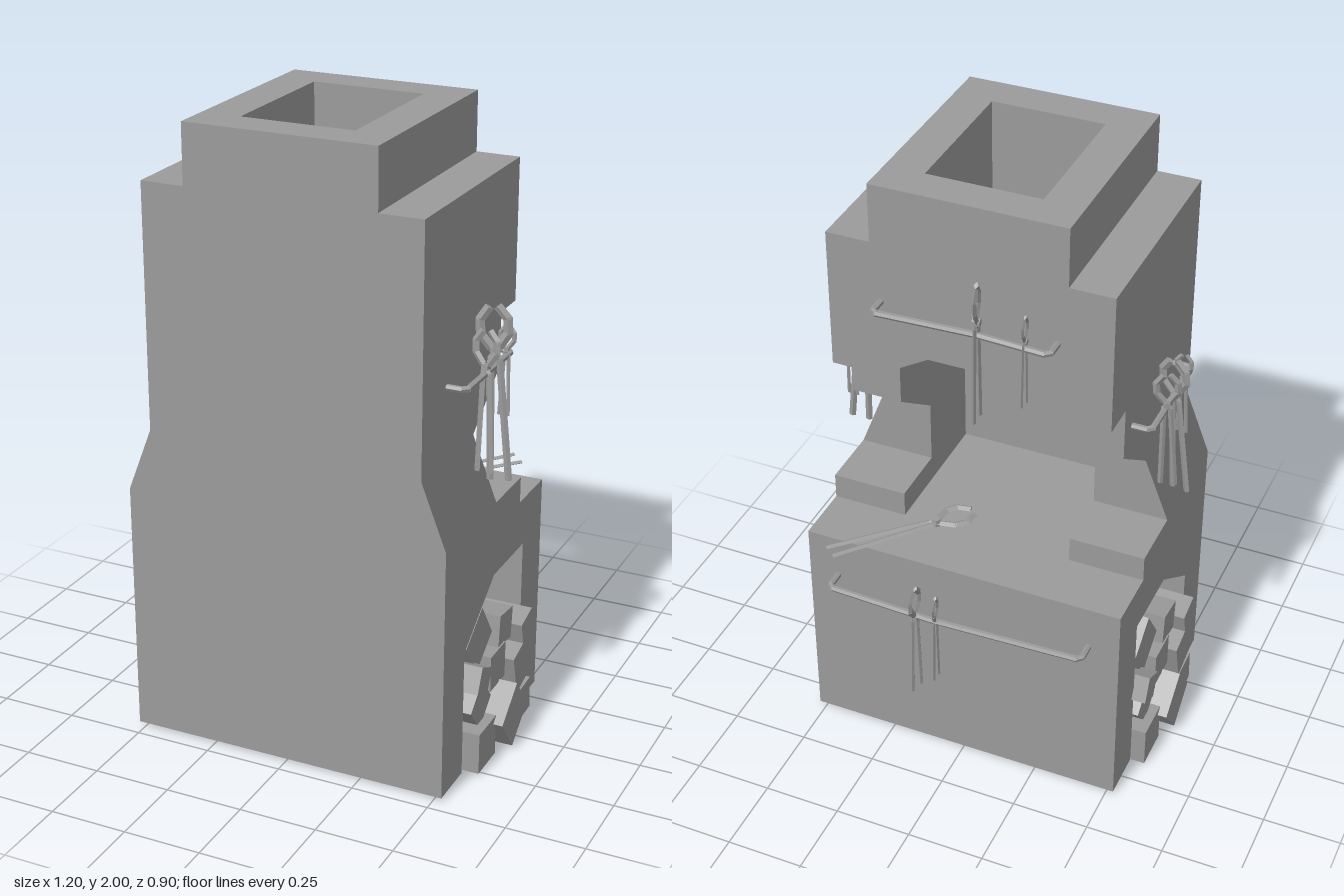
import * as THREE from 'three';
import { mergeGeometries } from 'three/addons/utils/BufferGeometryUtils.js';

const stone = new THREE.MeshStandardMaterial({ color: 0x9b9b9b, flatShading: true });
const smoothStone = new THREE.MeshStandardMaterial({ color: 0x9b9b9b });

function add(parent, name, geometry, material = stone) {
  const mesh = new THREE.Mesh(geometry, material);
  mesh.name = name;
  parent.add(mesh);
  return mesh;
}

// Box from its lower and upper corner
function block(x0, y0, z0, x1, y1, z1) {
  return new THREE.BoxGeometry(x1 - x0, y1 - y0, z1 - z0)
    .translate((x0 + x1) / 2, (y0 + y1) / 2, (z0 + z1) / 2);
}

// Outline pushed along an axis: x takes (z, y) points, y takes (x, z), z takes (x, y)
function prism(axis, points, from, to, hole) {
  const toVectors = (list) => list.map(([a, b]) => new THREE.Vector2(a, b));
  const shape = new THREE.Shape(toVectors(points));
  if (hole) shape.holes.push(new THREE.Path(toVectors(hole)));
  const geo = new THREE.ExtrudeGeometry(shape, { depth: to - from, bevelEnabled: false });
  if (axis === 'x') return geo.rotateY(-Math.PI / 2).translate(to, 0, 0);
  if (axis === 'y') return geo.rotateX(Math.PI / 2).translate(0, to, 0);
  return geo.translate(0, 0, from);
}

const rect = (x0, z0, x1, z1) => [[x0, z0], [x1, z0], [x1, z1], [x0, z1]];

// Block whose outer side leans in at the top, shaded like the wall it continues
function taperedBlock(x0, x1, y0, y1, z0, z1, outerBottom, outerTop) {
  const geo = block(x0, y0, z0, x1, y1, z1);
  const pos = geo.attributes.position;
  for (let i = 0; i < pos.count; i++) {
    const isOuter = Math.abs(pos.getX(i) - outerBottom) < 1e-4;
    if (isOuter && pos.getY(i) > (y0 + y1) / 2) pos.setX(i, outerTop);
  }
  return geo;
}

// Chain of thin bars through a list of points
function rod(points, radius, sides) {
  const up = new THREE.Vector3(0, 1, 0);
  const bars = [];
  for (let i = 1; i < points.length; i++) {
    const a = new THREE.Vector3(...points[i - 1]);
    const b = new THREE.Vector3(...points[i]);
    const dir = b.clone().sub(a);
    const bar = new THREE.CylinderGeometry(radius, radius, dir.length() + radius * 0.6, sides);
    bar.applyQuaternion(new THREE.Quaternion().setFromUnitVectors(up, dir.normalize()));
    const mid = a.add(b).multiplyScalar(0.5);
    bars.push(bar.translate(mid.x, mid.y, mid.z));
  }
  return mergeGeometries(bars);
}

// Flat tongs with the pivot at the origin, jaws up, opening along x
function makeTongs(size) {
  const tongs = new THREE.Group();
  tongs.name = 'tongs';
  for (const s of [-1, 1]) {
    const handle = rod([[s * 0.026, -0.36, 0], [s * 0.012, -0.02, 0], [-s * 0.012, 0.015, 0]], 0.01, 4);
    const jaw = rod([[-s * 0.012, 0.015, 0], [-s * 0.037, 0.05, 0], [-s * 0.037, 0.09, 0],
      [-s * 0.013, 0.122, 0]], 0.013, 4);
    const arm = mergeGeometries([handle, jaw]).scale(1, 1, 0.6).translate(0, 0, s * 0.003);
    add(tongs, 'tongsArm', arm);
  }
  add(tongs, 'tongsPivot', new THREE.CylinderGeometry(0.014, 0.014, 0.026, 6).rotateX(Math.PI / 2));
  tongs.scale.setScalar(size);
  return tongs;
}

function hangTongs(parent, size, x, y, z, turn, lean, roll) {
  const tongs = makeTongs(size);
  tongs.position.set(x, y, z);
  tongs.rotation.set(lean, turn, roll);
  parent.add(tongs);
}

export function createModel() {
  const model = new THREE.Group();
  model.name = 'forge';
  const front = 0.45, inner = 0.28, upper = 0.444, wide = 0.524;
  const lip = -0.14, back = -0.255, ceiling = 1.62;

  // Base with a fuel tunnel running through from side to side
  add(model, 'base', prism('x', [[front, 0.012], [front, 0.745], [-0.334, 0.745], [-0.334, 0.012],
    [-0.178, 0.012], [-0.178, 0.587], [0.064, 0.587], [0.292, 0.427], [0.292, 0.012]], -wide, wide));

  // Hearth walls, mirrored left and right
  for (const s of [-1, 1]) {
    const range = (a, b) => (s > 0 ? [a, b] : [-b, -a]);
    const [s0, s1] = range(inner, wide);
    const [u0, u1] = range(inner, upper);
    add(model, 'hearthStep', block(s0, 0.745, lip, s1, 0.83, front));
    add(model, 'taperedWall',
      taperedBlock(s0, s1, 0.83, 1.037, 0.064, front, s * wide, s * upper), smoothStone);
    add(model, 'corbelWall', prism('x', [[front, 1.037], [0.064, 1.037], [lip, 1.186],
      [lip, ceiling], [front, ceiling]], u0, u1));
  }
  add(model, 'frontWall', block(-inner, 0.745, 0.33, inner, ceiling, front));

  // Arched hood lip, then hood and chimney around an open flue
  add(model, 'hoodLip', prism('z', [[-upper, 1.36], [-0.29, 1.36], [-0.13, 1.455], [0.13, 1.455],
    [0.29, 1.36], [upper, 1.36], [upper, 1.812], [-upper, 1.812]], back, lip));
  const flue = rect(-0.18, lip + 0.001, 0.18, 0.33);
  add(model, 'hood', prism('y', rect(-upper, lip, upper, front), ceiling, 1.812, flue));
  add(model, 'chimney', prism('y', rect(-0.305, back, 0.305, front), 1.812, 2, flue));

  // Fuel blocks: z, y, thickness, turn in degrees, outer end
  const fuelRows = [
    [0.2, 0.075, 0.135, 0, 0.57], [0.048, 0.108, 0.15, 38, 0.6], [-0.11, 0.07, 0.11, 3, 0.57],
    [0.185, 0.2, 0.115, 40, 0.54], [0.05, 0.265, 0.12, 0, 0.54], [-0.095, 0.215, 0.14, 15, 0.57],
    [0.15, 0.4, 0.15, 35, 0.515], [-0.02, 0.37, 0.105, -6, 0.535], [0.235, 0.315, 0.085, -25, 0.57],
    [-0.125, 0.325, 0.09, 15, 0.57],
  ];
  for (const s of [1, -1]) {
    const pile = new THREE.Group();
    pile.name = s > 0 ? 'leftFuelPile' : 'rightFuelPile';
    for (const [z, y, size, turn, end] of fuelRows) {
      const piece = add(pile, 'fuelBlock', new THREE.BoxGeometry(end - 0.1, size, size));
      piece.position.set((end + 0.1) / 2, y, z);
      piece.rotation.x = THREE.MathUtils.degToRad(turn);
    }
    if (s < 0) {
      pile.rotation.y = Math.PI;
      pile.position.z = 0.095;
    }
    model.add(pile);
  }

  // Tool rails on the back and on both sides
  const rail = (y, pts) => rod(pts.map(([x, z]) => [x, y, z]), 0.01, 6);
  add(model, 'hoodRail', rail(1.62, [[-0.275, -0.25], [-0.275, -0.305], [-0.26, -0.318],
    [-0.04, -0.305], [0.26, -0.318], [0.275, -0.305], [0.275, -0.25]]));
  add(model, 'baseRail', rail(0.6, [[-0.425, -0.33], [-0.425, -0.385], [-0.41, -0.4],
    [0.06, -0.415], [0.41, -0.4], [0.425, -0.385], [0.425, -0.33]]));
  for (const s of [-1, 1]) {
    add(model, 'sideRail', rail(1.265, [[s * 0.43, -0.078], [s * 0.49, -0.078],
      [s * 0.505, -0.063], [s * 0.505, 0.262], [s * 0.49, 0.277], [s * 0.43, 0.277]]));
  }

  // Tongs straddling the rails
  const quarter = Math.PI / 2;
  hangTongs(model, 0.92, -0.05, 1.665, -0.308, quarter + 0.15, 0, 0);
  hangTongs(model, 0.6, -0.2, 1.645, -0.315, quarter, 0, 0);
  hangTongs(model, 0.82, 0.12, 0.595, -0.412, quarter - 0.1, 0, 0);
  hangTongs(model, 0.65, 0.05, 0.605, -0.415, quarter + 0.1, 0, 0);
  hangTongs(model, 1.1, 0.505, 1.31, 0.06, 0.2, -0.06, 0.08);
  hangTongs(model, 0.88, 0.505, 1.285, 0.13, -0.1, -0.09, 0.04);
  hangTongs(model, 0.57, 0.505, 1.285, -0.035, 0.05, -0.06, 0);
  hangTongs(model, 1, -0.51, 1.27, 0.115, -0.15, -0.06, -0.07);
  hangTongs(model, 0.85, -0.51, 1.285, 0.04, 0.25, -0.05, -0.03);
  hangTongs(model, 0.6, -0.505, 1.285, 0.2, 0, -0.05, 0);

  // Tongs lying on the hearth
  const resting = makeTongs(1);
  resting.name = 'restingTongs';
  resting.rotation.set(quarter + 0.02, -0.72, 0, 'YXZ');
  resting.position.set(0.168, 0.757, -0.145);
  model.add(resting);

  return model;
}
